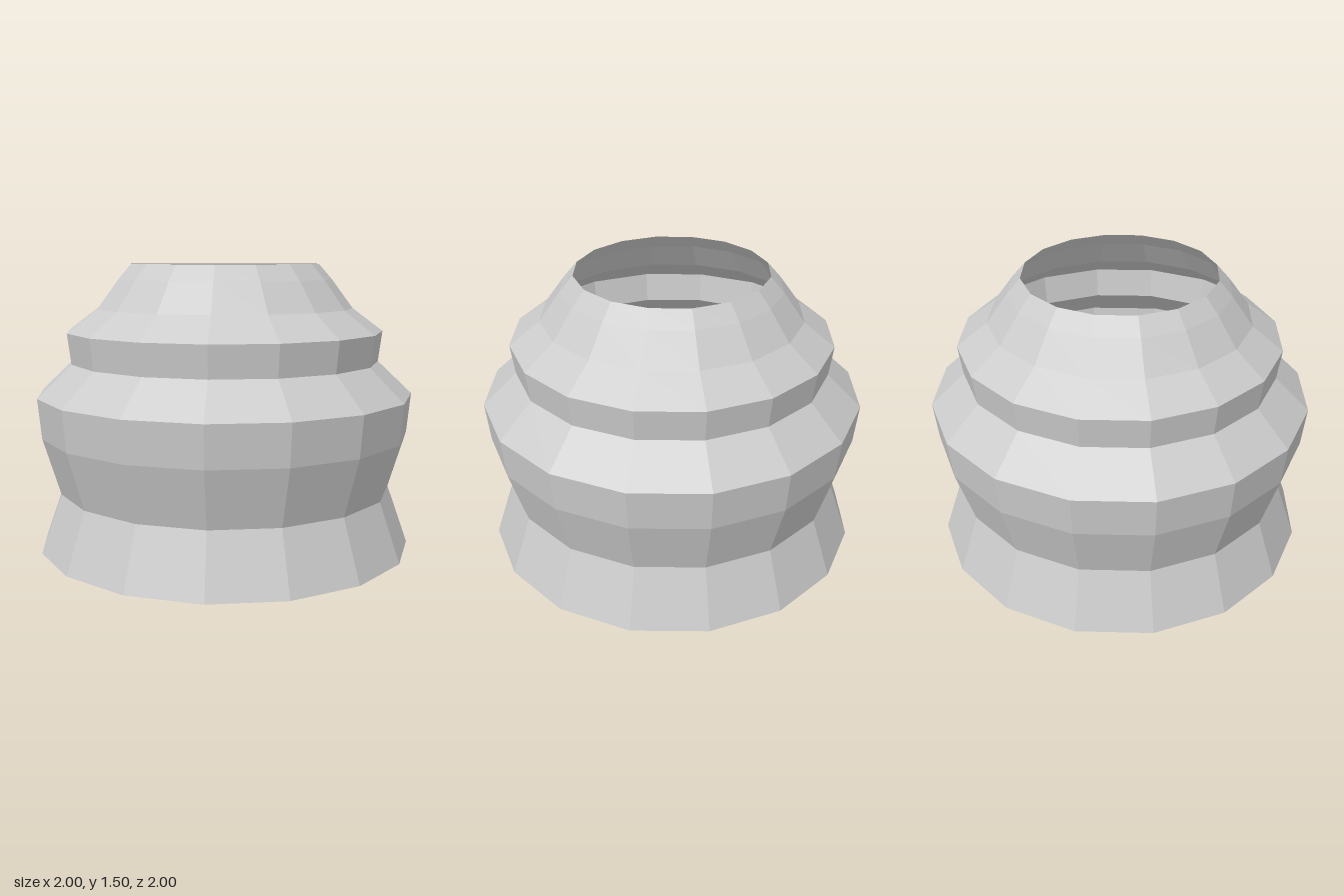
import * as THREE from 'three';

export function createModel() {
  const group = new THREE.Group();
  const material = new THREE.MeshStandardMaterial({
    color: 0xcccccc, flatShading: true, side: THREE.DoubleSide,
  });

  // Open faceted shell: [radius, height] from the flared foot up to the rim
  const profile = [
    [1, 0], [0.89, 0.31],             // flared foot
    [0.98, 0.61], [1, 0.82],          // belly
    [0.82, 0.99], [0.84, 1.15],       // shoulder and collar
    [0.68, 1.27], [0.57, 1.42], [0.5, 1.5], // neck and open rim
  ].map(([r, y]) => new THREE.Vector2(r, y));

  const shell = new THREE.Mesh(new THREE.LatheGeometry(profile, 16), material);
  shell.name = 'shell';
  group.add(shell);
  return group;
}
